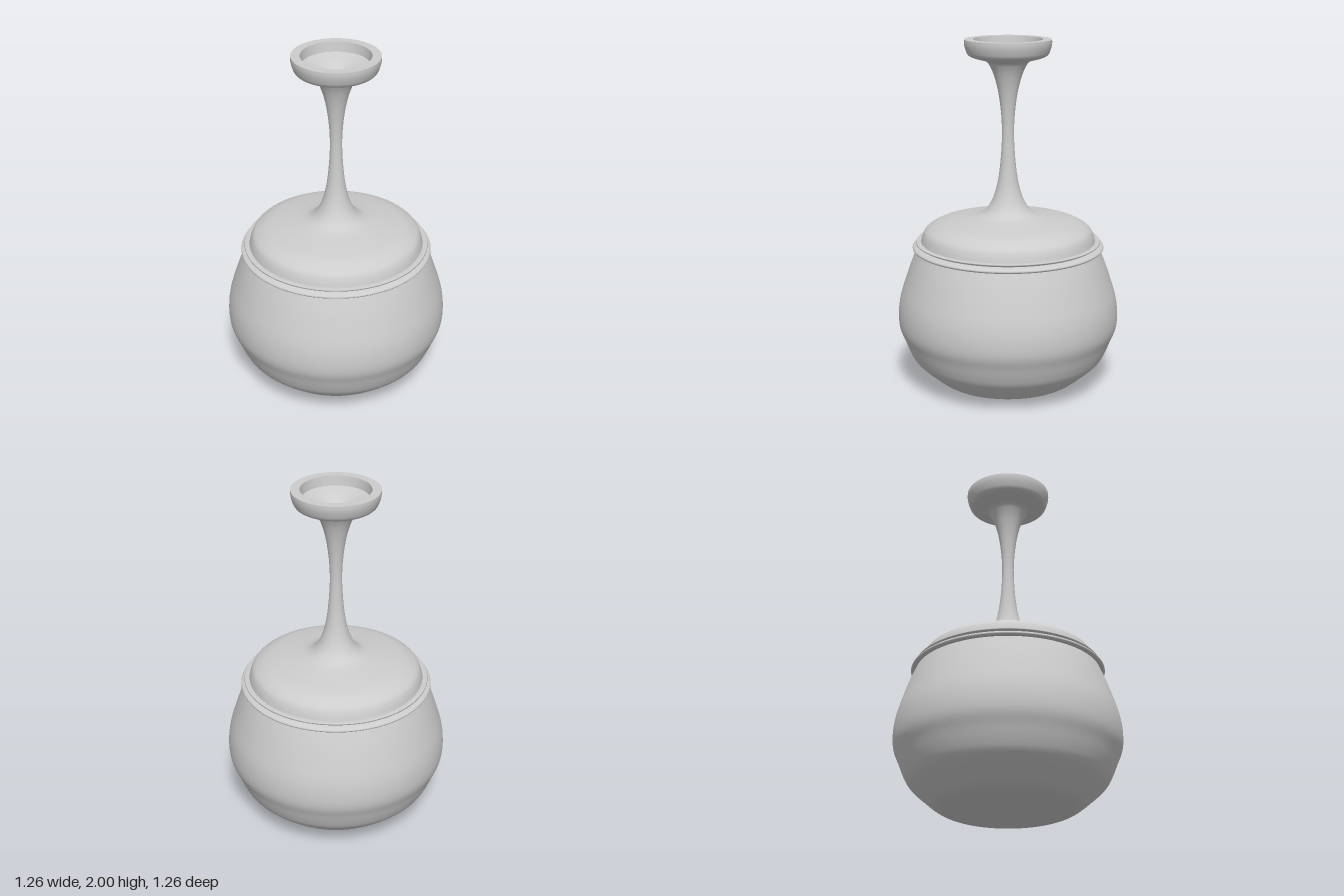
import * as THREE from 'three';

const SEGMENTS = 96;

// Smooth lathe through a few [radius, height] points, listed from the bottom up
function turned(name, points, material, samples = 4) {
  const curve = new THREE.SplineCurve(points.map(([r, y]) => new THREE.Vector2(r, y)));
  const profile = samples === 1 ? curve.points : curve.getPoints((points.length - 1) * samples);
  profile.forEach(p => { p.x = Math.max(p.x, 0); });
  const mesh = new THREE.Mesh(new THREE.LatheGeometry(profile, SEGMENTS), material);
  mesh.name = name;
  return mesh;
}

export function createModel() {
  const group = new THREE.Group();
  group.name = 'lidded vessel';
  const clay = new THREE.MeshStandardMaterial({ color: 0xcccccc, side: THREE.DoubleSide });
  clay.name = 'pale grey';

  // Round pot with a shallow, slightly domed base
  group.add(turned('pot', [
    [0, 0], [0.2, 0.01], [0.34, 0.025], [0.4, 0.045], [0.47, 0.1], [0.54, 0.165],
    [0.572, 0.22], [0.6, 0.29], [0.627, 0.36], [0.632, 0.44], [0.62, 0.53],
    [0.59, 0.63], [0.555, 0.73], [0.52, 0.815],
  ], clay));

  // Rounded rim bead and the thin lip above it
  group.add(turned('rimBead', [
    [0.515, 0.812], [0.535, 0.812], [0.545, 0.82], [0.542, 0.83], [0.525, 0.838], [0.51, 0.842],
  ], clay));
  group.add(turned('rimLip', [
    [0.51, 0.84], [0.512, 0.847], [0.526, 0.851], [0.524, 0.857], [0.5, 0.858], [0.48, 0.856],
  ], clay, 1));

  // Domed lid flowing into the tall stem and the underside of the cup
  group.add(turned('lidAndStem', [
    [0.498, 0.855], [0.488, 0.89], [0.472, 0.92], [0.44, 0.943], [0.39, 0.965], [0.3, 0.983],
    [0.21, 0.998], [0.155, 1.015], [0.115, 1.05], [0.083, 1.11], [0.058, 1.2], [0.042, 1.32],
    [0.034, 1.46], [0.038, 1.58], [0.053, 1.7], [0.075, 1.79], [0.1, 1.85], [0.125, 1.88],
    [0.19, 1.898], [0.222, 1.915], [0.236, 1.945], [0.243, 1.975], [0.243, 2],
  ], clay));

  // Flat cup rim, its inner wall and the funnel-shaped hollow
  group.add(turned('cupRim', [[0.243, 2], [0.193, 2]], clay, 1));
  group.add(turned('cupWall', [[0.193, 2], [0.185, 1.945]], clay, 1));
  group.add(turned('cupHollow', [
    [0.185, 1.945], [0.13, 1.928], [0.08, 1.905], [0.04, 1.872], [0, 1.82],
  ], clay));

  return group;
}
